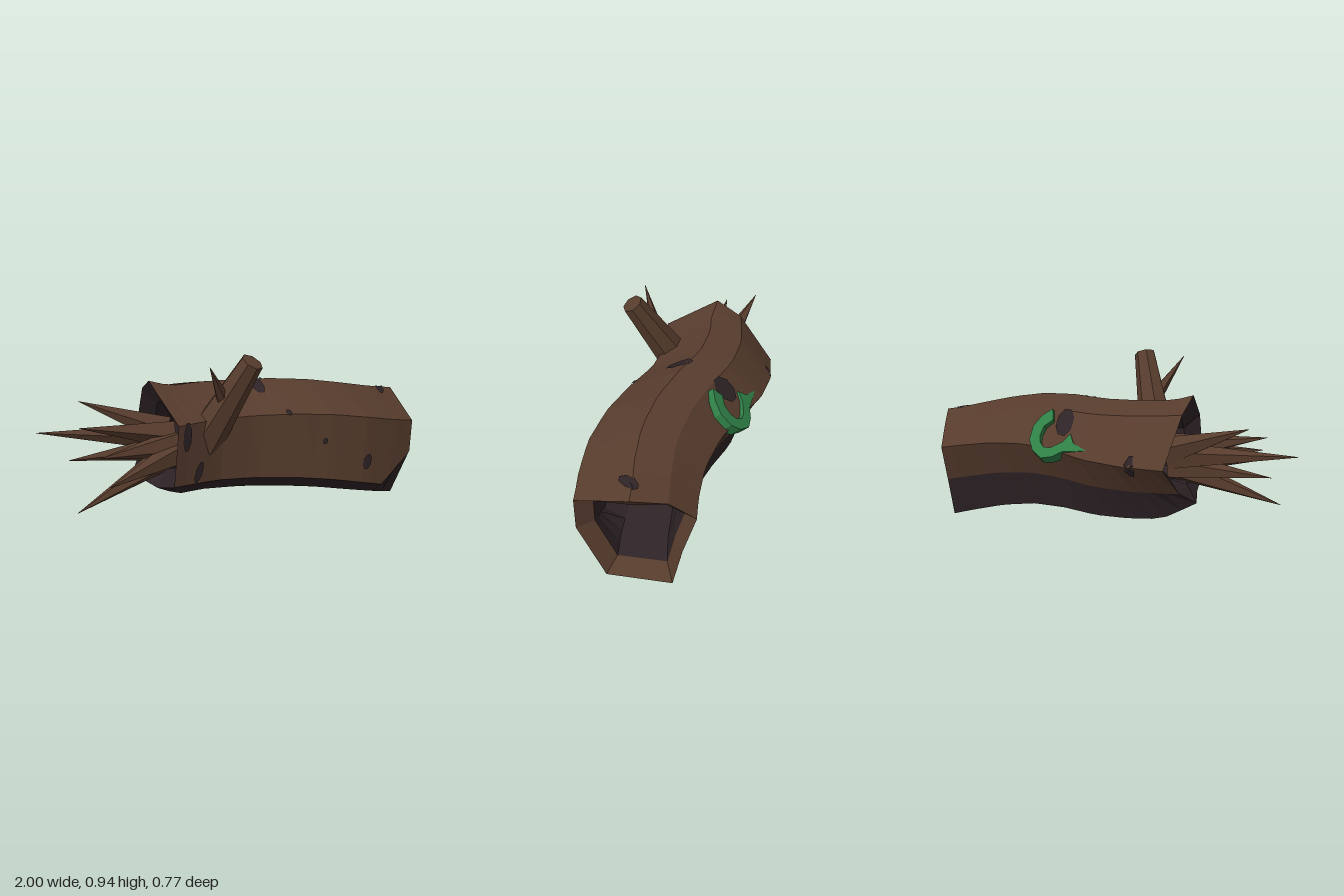
import * as THREE from 'three';

const make = (name, hex) => {
  const m = new THREE.MeshStandardMaterial({ color: hex, flatShading: true, side: THREE.DoubleSide });
  m.name = name;
  return m;
};

// Centre line of the log as [x, y, z] stations
const PATH = [
  [-0.52, 0.47, -0.035], [-0.4, 0.46, -0.065], [-0.2, 0.45, -0.095], [0, 0.44, -0.075], [0.2, 0.435, -0.005],
  [0.4, 0.415, 0.055], [0.6, 0.375, 0.085], [0.78, 0.33, 0.075], [0.9, 0.3, 0.055], [1, 0.28, 0.045],
];
// Eight ridges [z, y] about the centre line:
// top, back top, back, back low, bottom back, bottom front, front low, front top
const LEFT = [[0.05, 0.28], [-0.12, 0.24], [-0.295, 0.01], [-0.185, -0.14],
  [-0.12, -0.29], [0.1, -0.28], [0.285, -0.16], [0.295, 0.15]];
const RIGHT = [[0.01, 0.29], [-0.15, 0.23], [-0.27, 0.12], [-0.205, -0.08],
  [-0.155, -0.3], [0.165, -0.3], [0.29, -0.22], [0.285, 0.165]];
// Ragged end positions of each ridge
const X0 = [-0.46, -0.44, -0.4, -0.45, -0.52, -0.47, -0.46, -0.43];
const X1 = [1, 0.93, 0.89, 0.9, 0.9, 0.91, 0.92, 0.93];
const SIDES = 8;

const lerp = THREE.MathUtils.lerp;

function centre(x) {
  let i = 0;
  while (i < PATH.length - 2 && x > PATH[i + 1][0]) i++;
  const a = PATH[i], b = PATH[i + 1], k = (x - a[0]) / (b[0] - a[0]);
  return [lerp(a[1], b[1], k), lerp(a[2], b[2], k)];
}

// Point on ridge i at t (0 left end, 1 right end), scaled about the centre line
function ridgePoint(t, i, scale) {
  const x = lerp(X0[i], X1[i], t), [cy, cz] = centre(x);
  let dz = lerp(LEFT[i][0], RIGHT[i][0], t), dy = lerp(LEFT[i][1], RIGHT[i][1], t);
  if (x < -0.35 && (i === 4 || i === 5)) dy += 0.45 * (-0.35 - x);
  if (i === 0 && t < 0.08) {
    dy += 0.03 * (1 - t / 0.08);
    dz -= 0.04 * (1 - t / 0.08);
  }
  if (i === 6 && t > 0.85) dy += 0.21 * (t - 0.85) / 0.15;
  return new THREE.Vector3(x, cy + dy * scale, cz + dz * scale);
}

function surface(t, s, scale) {
  const i = Math.floor(s), k = s - i;
  return ridgePoint(t, i % SIDES, scale).lerp(ridgePoint(t, (i + 1) % SIDES, scale), k);
}

function finish(pos, index) {
  const g = new THREE.BufferGeometry();
  g.setAttribute('position', new THREE.Float32BufferAttribute(pos, 3));
  g.setIndex(index);
  const flat = g.toNonIndexed();
  flat.computeVertexNormals();
  return flat;
}

// Triangulated sheet between rows of points
function sheet(rows) {
  const pos = [], n = rows[0].length, index = [];
  rows.forEach(r => r.forEach(p => pos.push(p.x, p.y, p.z)));
  for (let r = 0; r < rows.length - 1; r++)
    for (let c = 0; c < n - 1; c++) {
      const a = r * n + c, b = a + n;
      index.push(a, b, a + 1, b, b + 1, a + 1);
    }
  return finish(pos, index);
}

const ring = (t, scale, dx = 0) =>
  Array.from({ length: SIDES + 1 }, (_, i) => {
    const p = ridgePoint(t, i % SIDES, scale);
    p.x += dx;
    return p;
  });

// Tapered limb from a to b
function limb(a, b, r0, r1, sides) {
  const from = new THREE.Vector3(...a), to = new THREE.Vector3(...b);
  const dir = to.clone().sub(from), len = dir.length();
  const g = new THREE.CylinderGeometry(r1, r0, len, sides);
  g.applyQuaternion(new THREE.Quaternion().setFromUnitVectors(new THREE.Vector3(0, 1, 0), dir.normalize()));
  const m = from.add(to).multiplyScalar(0.5);
  return g.translate(m.x, m.y, m.z);
}

// Thin rounded bark mark that follows the log
function mark(t, s, rt, rs, slant = 0) {
  const pos = [], index = [], n = 8, c = surface(t, s, 1.025);
  pos.push(c.x, c.y, c.z);
  for (let i = 0; i < n; i++) {
    const a = (i + 0.5) / n * Math.PI * 2;
    const p = surface(t + Math.cos(a) * rt + Math.sin(a) * slant, s + Math.sin(a) * rs, 1.025);
    pos.push(p.x, p.y, p.z);
    index.push(0, i + 1, (i + 1) % n + 1);
  }
  return finish(pos, index);
}

export function createModel() {
  const group = new THREE.Group();
  const bark = make('bark brown', 0x573c2d);
  const dark = make('dark hollow', 0x2e2326);
  const green = make('vine green', 0x2f8047);
  const add = (name, geometry, material) => {
    const m = new THREE.Mesh(geometry, material);
    m.name = name;
    group.add(m);
  };

  // Hollow log: brown bark, dark underside, dark inner wall and two rims
  const steps = 20, outer = [], inner = [];
  for (let i = 0; i <= steps; i++) {
    const t = i / steps;
    outer.push(ring(t, 1));
    inner.push(ring(t, lerp(0.64, 0.75, t), lerp(0.06, -0.06, t)));
  }
  const strip = (from, to) => sheet(outer.map(r => r.slice(from, to + 1)));
  add('backBark', strip(0, 3), bark);
  add('underside', strip(3, 6), dark);
  add('frontBark', strip(6, 8), bark);
  add('logHollow', sheet(inner.slice().reverse()), dark);
  add('leftRim', sheet([inner[0], outer[0]]), dark);
  add('rightRim', sheet([outer[steps], inner[steps]]), bark);

  // Branch stub with a side twig
  add('branch', limb([-0.24, 0.47, 0.115], [-0.088, 0.907, 0.337], 0.1, 0.056, 7), bark);
  add('twig', limb([-0.18, 0.69, 0.23], [-0.31, 0.905, 0.33], 0.04, 0.001, 5), bark);

  // Splinters bursting from the left end: base then tip
  const splinters = [
    [[-0.36, 0.46, -0.07], [-1, 0.55, -0.18]],
    [[-0.36, 0.49, -0.08], [-0.77, 0.67, -0.21]],
    [[-0.36, 0.49, -0.02], [-0.83, 0.59, -0.03]],
    [[-0.36, 0.39, 0.0], [-0.9, 0.21, 0.09]],
    [[-0.36, 0.41, 0.06], [-0.8, 0.39, 0.28]],
    [[-0.36, 0.45, 0.03], [-0.79, 0.48, 0.13]],
    [[-0.36, 0.41, -0.06], [-0.87, 0.41, -0.1]],
  ];
  splinters.forEach(([a, b]) => add('splinter', limb(a, b, 0.075, 0.001, 5), bark));

  // Dark marks on the bark: t, ridge position, half sizes, slant
  [
    [0.04, 6.8, 0.018, 0.24], [0.1, 6.2, 0.016, 0.17, 0.01], [0.39, 7.84, 0.024, 0.28],
    [0.44, 7.05, 0.01, 0.07], [0.58, 6.6, 0.01, 0.05], [0.765, 6.34, 0.019, 0.12, 0.006],
    [0.935, 7.97, 0.022, 0.22, 0.015], [0.44, 1.3, 0.04, 0.34], [0.13, 2.05, 0.018, 0.3],
  ].forEach(m => add('barkMark', mark(...m), dark));

  // Curled vine lying on the sloping back face, with a forked tail
  const vine = new THREE.Shape([
    [-0.05, 0.15], [-0.10, 0.11], [-0.135, 0.05], [-0.135, -0.03], [-0.10, -0.09], [-0.04, -0.13], [0.02, -0.12],
    [0.07, -0.09], [0.20, -0.08], [0.12, -0.04], [0.09, 0.01], [0.06, -0.035], [0.0, -0.07], [-0.04, -0.07],
    [-0.07, -0.04], [-0.08, 0.0], [-0.07, 0.05], [-0.03, 0.085],
  ].map(p => new THREE.Vector2(...p)));
  const curl = new THREE.ExtrudeGeometry(vine, { depth: 0.065, bevelEnabled: false }).translate(0, 0, -0.055);
  curl.applyMatrix4(new THREE.Matrix4().makeBasis(
    new THREE.Vector3(-1, 0.08, -0.095), new THREE.Vector3(0, 0.76, 0.65), new THREE.Vector3(0, 0.65, -0.76)
  ).setPosition(0.2, 0.56, -0.25));
  add('vineCurl', curl, green);

  return group;
}
